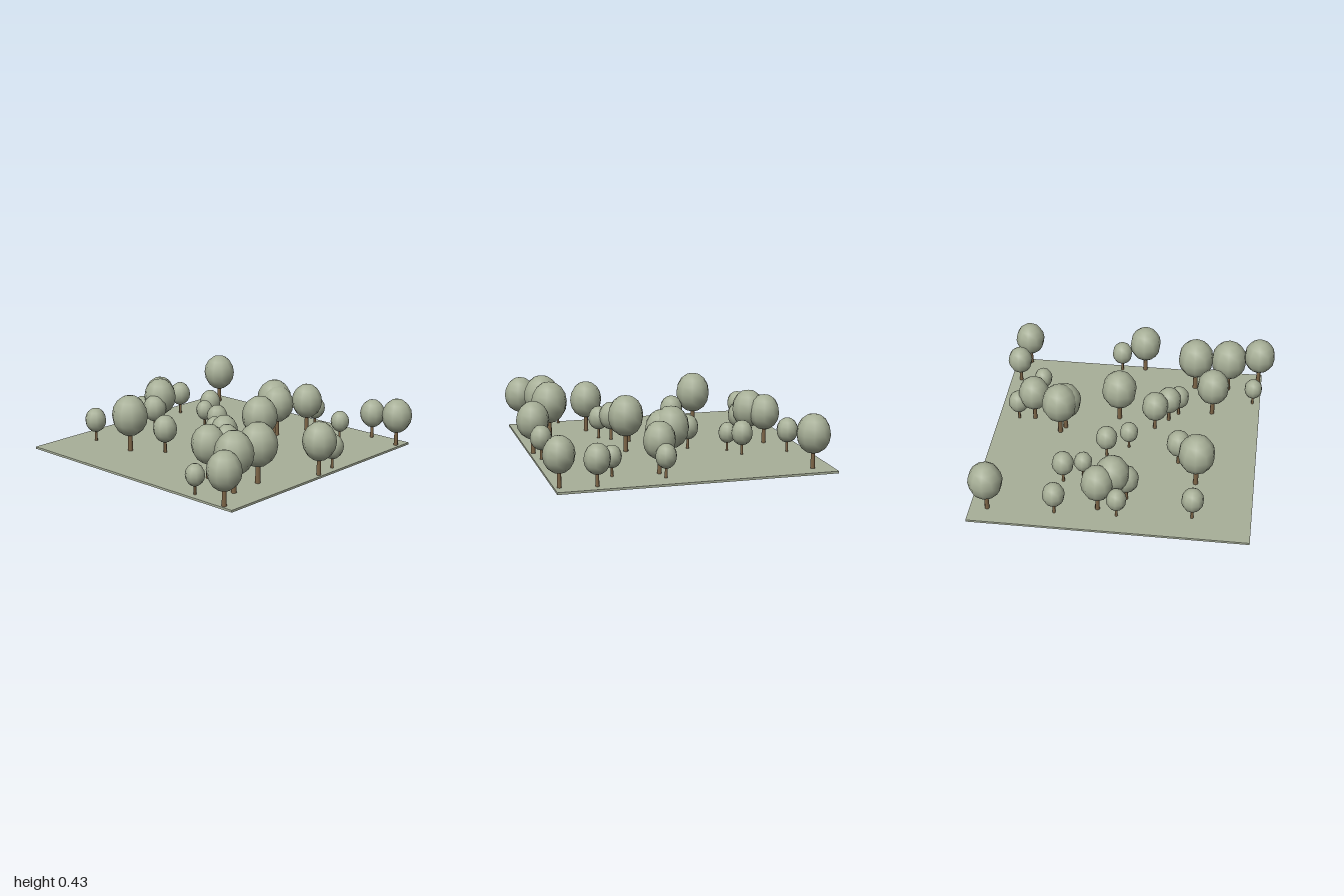
import * as THREE from 'three';

const ground = new THREE.MeshStandardMaterial({ color: 0xa8af99 });
ground.name = 'pale sage ground';
const leaf = new THREE.MeshStandardMaterial({ color: 0xa6ae96 });
leaf.name = 'sage leaves';
const bark = new THREE.MeshStandardMaterial({ color: 0x7d6547 });
bark.name = 'brown bark';

const SLAB = 0.015;

// Each tree: x, z, crown radius
const TREES = [
  [-0.86, -0.87, 0.118], [-0.85, -0.415, 0.077], [-0.52, -0.405, 0.077],
  [-0.455, -0.275, 0.064], [-0.205, -0.145, 0.077], [-0.095, 0, 0.066],
  [-0.78, -0.13, 0.112], [-0.69, -0.04, 0.118], [-0.835, 0.005, 0.07],
  [-0.655, 0.05, 0.086], [-0.795, 0.51, 0.077], [-0.438, 0.505, 0.128],
  [-0.23, 0.365, 0.086], [0.148, 0.16, 0.096], [0.257, 0.25, 0.088],
  [0.335, 0.315, 0.075], [0.237, -0.11, 0.127], [0.15, -0.84, 0.073],
  [0.163, -0.725, 0.112], [0.025, -0.515, 0.127], [0.08, -0.485, 0.118],
  [0.482, -0.715, 0.067], [0.625, -0.915, 0.09], [0.865, -0.88, 0.108],
  [0.848, -0.165, 0.076], [0.872, 0.01, 0.117], [0.68, 0.41, 0.132],
  [0.69, 0.655, 0.132], [0.375, 0.56, 0.118], [0.53, 0.85, 0.066],
  [0.813, 0.88, 0.116],
];

export function createModel() {
  const model = new THREE.Group();
  model.name = 'grove';

  // Thin square ground slab
  const slab = new THREE.Mesh(new THREE.BoxGeometry(1.9, SLAB, 1.895), ground);
  slab.name = 'ground';
  slab.position.set(-0.05, SLAB / 2, -0.042);
  model.add(slab);

  // Shared tree parts, sized for a crown radius of 1
  const crownGeo = new THREE.SphereGeometry(1, 10, 8).scale(1, 1.15, 1).translate(0, 2.02, 0);
  const trunkGeo = new THREE.CylinderGeometry(0.11, 0.14, 1.4, 8).translate(0, 0.7, 0);

  TREES.forEach(([x, z, r], i) => {
    const tree = new THREE.Group();
    tree.name = `tree${i + 1}`;
    const trunk = new THREE.Mesh(trunkGeo, bark);
    trunk.name = 'trunk';
    const crown = new THREE.Mesh(crownGeo, leaf);
    crown.name = 'crown';
    tree.add(trunk, crown);
    tree.position.set(x, SLAB, z);
    tree.scale.setScalar(r);
    model.add(tree);
  });

  return model;
}
